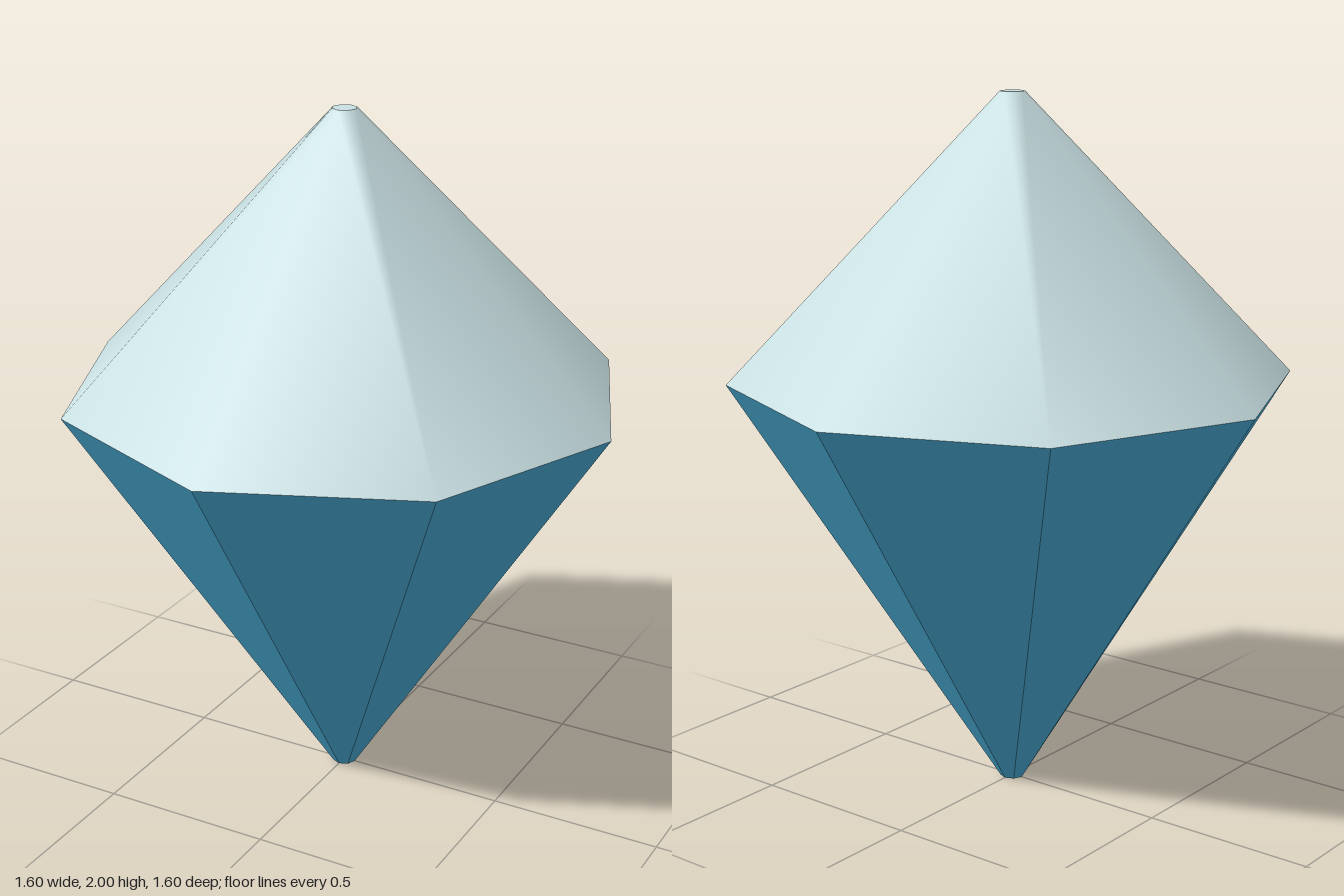
import * as THREE from 'three';

const SIDES = 8;
const GIRDLE_Y = 1.2;
const GIRDLE_R = 0.8;
const TIP_R = 0.035;

// Smooth-shaded crown; every second quad is split along the other diagonal,
// so the soft shading runs along the four main ribs.
function crownGeometry() {
  const height = 2 - GIRDLE_Y;
  const geometry = new THREE.CylinderGeometry(TIP_R, GIRDLE_R, height, SIDES);
  const row = SIDES + 1;
  for (let i = 0; i < SIDES; i += 2) {
    const a = i, b = row + i, c = row + i + 1, d = i + 1;
    [a, b, c, a, c, d].forEach((v, k) => geometry.index.setX(i * 6 + k, v));
  }
  return geometry.translate(0, GIRDLE_Y + height / 2, 0);
}

// Flat-faceted lower body tapering to a small tip
function lowerGeometry() {
  const geometry = new THREE.CylinderGeometry(GIRDLE_R, TIP_R, GIRDLE_Y, SIDES).toNonIndexed();
  geometry.computeVertexNormals();
  return geometry.translate(0, GIRDLE_Y / 2, 0);
}

export function createModel() {
  const paleMaterial = new THREE.MeshStandardMaterial({ color: 0xc8dfe2 });
  paleMaterial.name = 'paleBlue';
  const blueMaterial = new THREE.MeshStandardMaterial({ color: 0x45a3cb });
  blueMaterial.name = 'blue';

  const crown = new THREE.Mesh(crownGeometry(), paleMaterial);
  crown.name = 'crown';
  const lowerBody = new THREE.Mesh(lowerGeometry(), blueMaterial);
  lowerBody.name = 'lowerBody';

  const model = new THREE.Group();
  model.name = 'gem';
  model.add(crown, lowerBody);
  return model;
}
